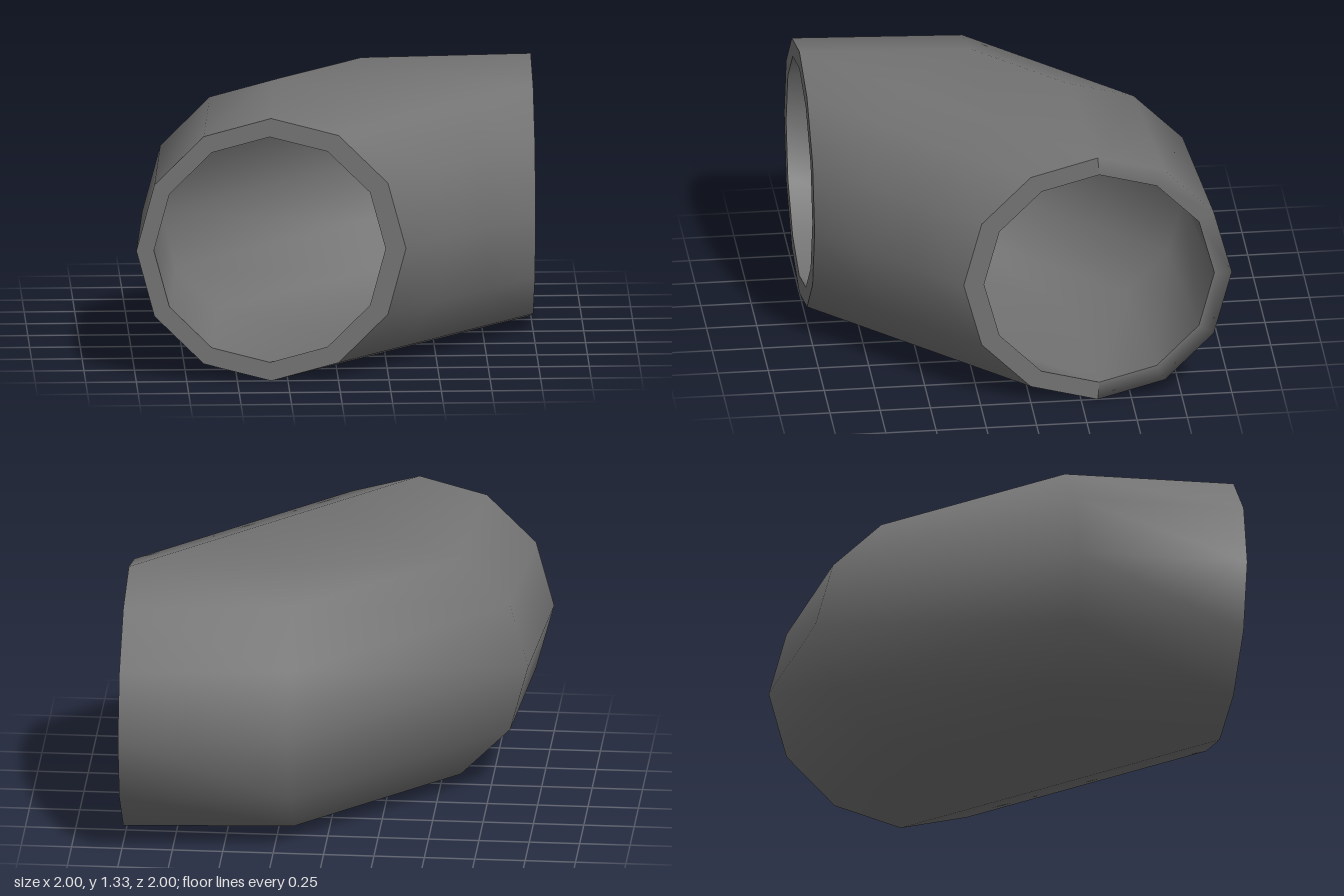
import * as THREE from 'three';
import { mergeVertices } from 'three/addons/utils/BufferGeometryUtils.js';

const SIDES = 12, HEIGHT = 0.667;
// Radius, centre of the openings, and centre and depth of the bend sections
const OUTER = { r: 0.667, off: -0.333, bendOff: -0.273, depth: 0.16 };
const INNER = { r: 0.573, off: -0.34, bendOff: -0.277, depth: 0.18 };

const material = new THREE.MeshStandardMaterial({ color: 0x737373 });

// Lines along the pipe: the outer half turns through two bend sections,
// the inner half runs straight from one opening to the other.
const bendHalf = [3, 4, 5, 6, 7, 8, 9].map((i) => ({ i, bends: true }));
const straightHalf = [9, 10, 11, 12, 13, 14, 15].map((i) => ({ i, bends: false }));
const allLines = [...bendHalf, ...straightHalf, bendHalf[0]];

function path({ r, off, bendOff, depth }, { i, bends }) {
  const a = (i % SIDES) / SIDES * Math.PI * 2;
  const c = r * Math.cos(a), y = HEIGHT + r * Math.sin(a);
  const start = new THREE.Vector3(off + c, y, 1);
  const end = new THREE.Vector3(1, y, off + c);
  const first = bends ? new THREE.Vector3(bendOff + c, y, depth) : start.clone().lerp(end, 1 / 3);
  const second = bends ? new THREE.Vector3(depth, y, bendOff + c) : start.clone().lerp(end, 2 / 3);
  return [start, first, second, end];
}

// Smooth skin over neighbouring rows of points
function loft(rows) {
  const n = rows[0].length, index = [];
  for (let j = 0; j < rows.length - 1; j++) {
    for (let s = 0; s < n - 1; s++) {
      const p = j * n + s;
      index.push(p, p + 1, p + n, p + 1, p + n + 1, p + n);
    }
  }
  const g = new THREE.BufferGeometry().setFromPoints(rows.flat());
  g.setIndex(index);
  const merged = mergeVertices(g, 1e-4);
  merged.computeVertexNormals();
  return merged;
}

export function createModel() {
  const group = new THREE.Group();
  group.name = 'pipeElbow';
  const add = (name, rows) => {
    const mesh = new THREE.Mesh(loft(rows), material);
    mesh.name = name;
    group.add(mesh);
  };

  // The outer wall rolls softly into the side rim along the outside of the bend
  add('outerWall', allLines.map((line) => {
    const outer = path(OUTER, line);
    return [...outer, line.bends ? path(INNER, line)[3] : outer[3]];
  }));
  add('innerWall', allLines.map((line) => path(INNER, line).reverse()));

  // Flat rims at the openings
  add('frontRim', allLines.map((line) => [path(INNER, line)[0], path(OUTER, line)[0]]));
  add('sideRim', straightHalf.map((line) => [path(OUTER, line)[3], path(INNER, line)[3]]));

  return group;
}
